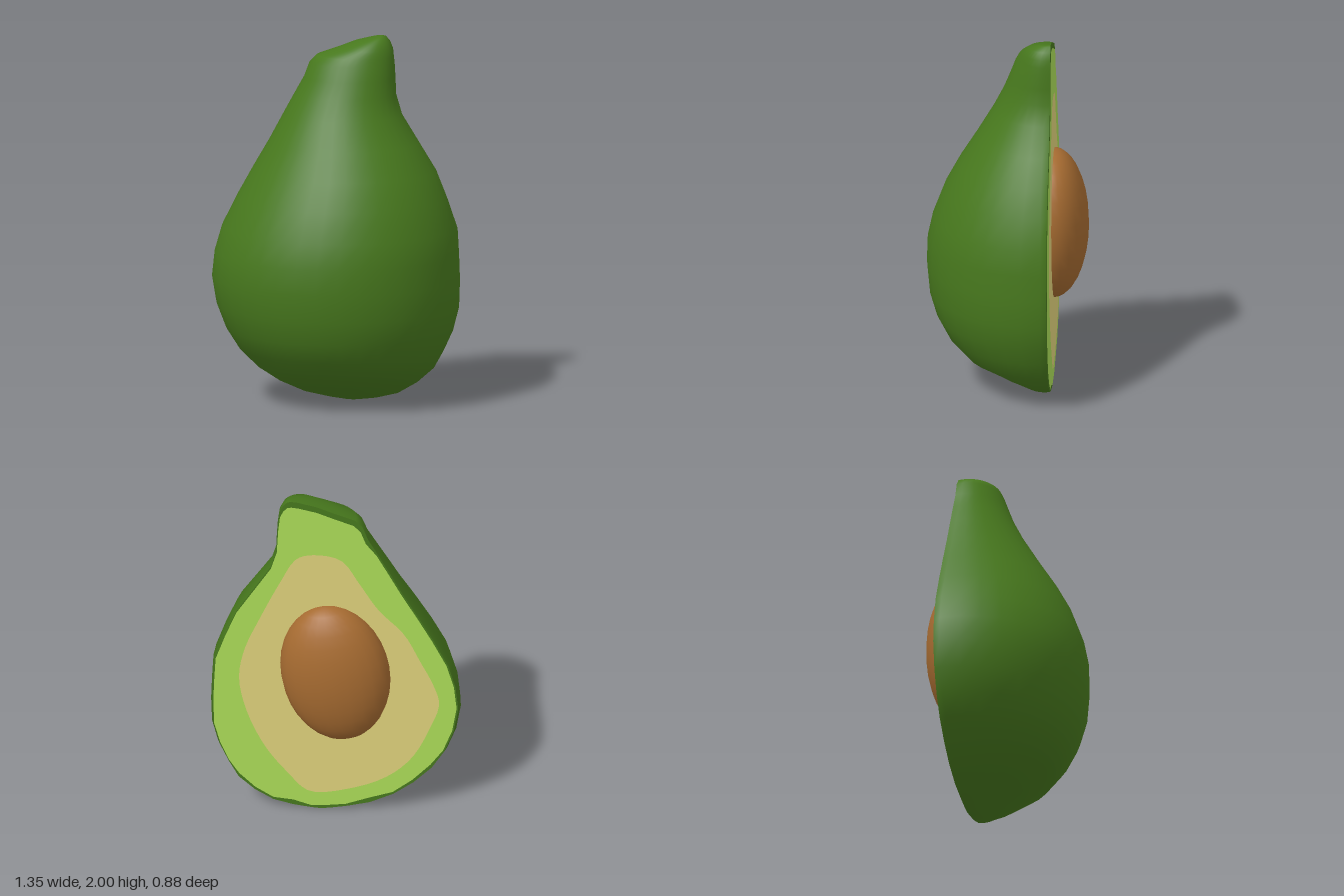
import * as THREE from 'three';

const CUT = -0.247; // plane of the cut face

// Horizontal sections of the half fruit: y, left x, right x, front z
const SECTIONS = [
  [0, 0.08, 0.08, CUT], [0.005, 0.03, 0.13, -0.2], [0.02, -0.06, 0.23, -0.15],
  [0.05, -0.19, 0.34, -0.08], [0.11, -0.32, 0.44, 0.05], [0.19, -0.43, 0.53, 0.22],
  [0.29, -0.53, 0.585, 0.32], [0.4, -0.6, 0.635, 0.38], [0.53, -0.65, 0.668, 0.42],
  [0.68, -0.675, 0.673, 0.435], [0.82, -0.66, 0.668, 0.43], [0.96, -0.62, 0.66, 0.4],
  [1.12, -0.54, 0.605, 0.34], [1.27, -0.457, 0.545, 0.26], [1.42, -0.37, 0.45, 0.165],
  [1.57, -0.29, 0.355, 0.075], [1.68, -0.23, 0.322, 0.02], [1.77, -0.18, 0.318, -0.015],
  [1.85, -0.15, 0.313, -0.045], [1.89, -0.11, 0.308, -0.065], [1.93, 0, 0.303, -0.09],
  [1.97, 0.1, 0.285, -0.125], [1.995, 0.2, 0.262, -0.18], [2, 0.24, 0.24, CUT],
];

// Outline of the pale inner flesh
const INNER = [
  [0.12, 1.66], [0.21, 1.63], [0.3, 1.47], [0.41, 1.23], [0.49, 1.03], [0.52, 0.845],
  [0.48, 0.63], [0.38, 0.4], [0.26, 0.235], [0.14, 0.115], [-0.06, 0.135], [-0.27, 0.22],
  [-0.41, 0.35], [-0.51, 0.55], [-0.56, 0.71], [-0.53, 0.83], [-0.46, 0.98],
  [-0.37, 1.16], [-0.235, 1.31], [-0.13, 1.48], [-0.03, 1.63],
];

const RIM = 0.982; // width of the rim compared with the full section

// Skin: sections lofted as half an ellipse, with a narrow rim that tucks in
function skinGeometry() {
  const cols = 18;
  const positions = [], index = [];
  for (const [y, xl, xr, zf] of SECTIONS) {
    const depth = zf - CUT, mid = (xl + xr) / 2, half = (xr - xl) / 2;
    const tuck = Math.min(0.035, depth * 0.2);
    positions.push(mid + half * RIM, y, CUT);
    for (let j = 0; j <= cols; j++) {
      const a = (Math.PI * j) / cols;
      positions.push(mid + half * Math.cos(a), y, CUT + tuck + (depth - tuck) * Math.sin(a));
    }
    positions.push(mid - half * RIM, y, CUT);
  }
  const w = cols + 3;
  for (let i = 0; i < SECTIONS.length - 1; i++) {
    for (let j = 0; j < w - 1; j++) {
      const a = i * w + j, b = a + 1, c = a + w, d = c + 1;
      index.push(a, c, b, b, c, d);
    }
  }
  const g = new THREE.BufferGeometry();
  g.setAttribute('position', new THREE.Float32BufferAttribute(positions, 3));
  g.setIndex(index);
  g.computeVertexNormals();
  return g;
}

// Flat plate facing -z with the given outline
function backPlate(points, z) {
  const shape = new THREE.Shape(points.map(([x, y]) => new THREE.Vector2(-x, y)));
  return new THREE.ShapeGeometry(shape).rotateY(Math.PI).translate(0, 0, z);
}

export function createModel() {
  const group = new THREE.Group();
  const material = (name, color) => {
    const m = new THREE.MeshStandardMaterial({ color });
    m.name = name;
    return m;
  };
  const skinMat = material('skin green', 0x47781d);
  const fleshMat = material('flesh green', 0xabdc58);
  const innerMat = material('inner flesh tan', 0xdfd17b);
  const seedMat = material('seed brown', 0xa66b31);

  const add = (name, geometry, mat) => {
    const mesh = new THREE.Mesh(geometry, mat);
    mesh.name = name;
    group.add(mesh);
    return mesh;
  };

  add('skin', skinGeometry(), skinMat);

  // Rim outline of the cut face
  const side = (s) => ([y, xl, xr]) => [(xl + xr) / 2 + (s * RIM * (xr - xl)) / 2, y];
  const rim = [
    ...SECTIONS.map(side(1)),
    ...SECTIONS.slice(1, -1).reverse().map(side(-1)),
  ];
  add('skinRim', backPlate(rim, CUT), skinMat);

  // Flesh is slightly inset, more so at the stem, with a wavy lower edge
  const flesh = rim.map(([x, y], i) => {
    const sy = y < 0.5 ? 0.975 + 0.012 * Math.sin(i * 2.3) : y > 1.7 ? 0.968 : 0.985;
    const sx = x > 0.05 ? 0.997 : y > 1.7 ? 0.95 : 0.988;
    return [0.05 + (x - 0.05) * sx, 0.9 + (y - 0.9) * sy];
  });
  add('flesh', backPlate(flesh, CUT - 0.003), fleshMat);

  // Smooth inner flesh outline
  const curve = new THREE.CatmullRomCurve3(
    INNER.map(([x, y]) => new THREE.Vector3(x, y, 0)), true);
  const inner = curve.getPoints(80).slice(0, -1).map((p) => [p.x, p.y]);
  add('innerFlesh', backPlate(inner, CUT - 0.006), innerMat);

  // Seed half sunk in the flesh
  const seed = add('seed', new THREE.SphereGeometry(1, 24, 16), seedMat);
  seed.scale.set(0.295, 0.43, 0.19);
  seed.position.set(0, 0.905, -0.25);
  seed.rotation.z = -0.14;

  return group;
}
